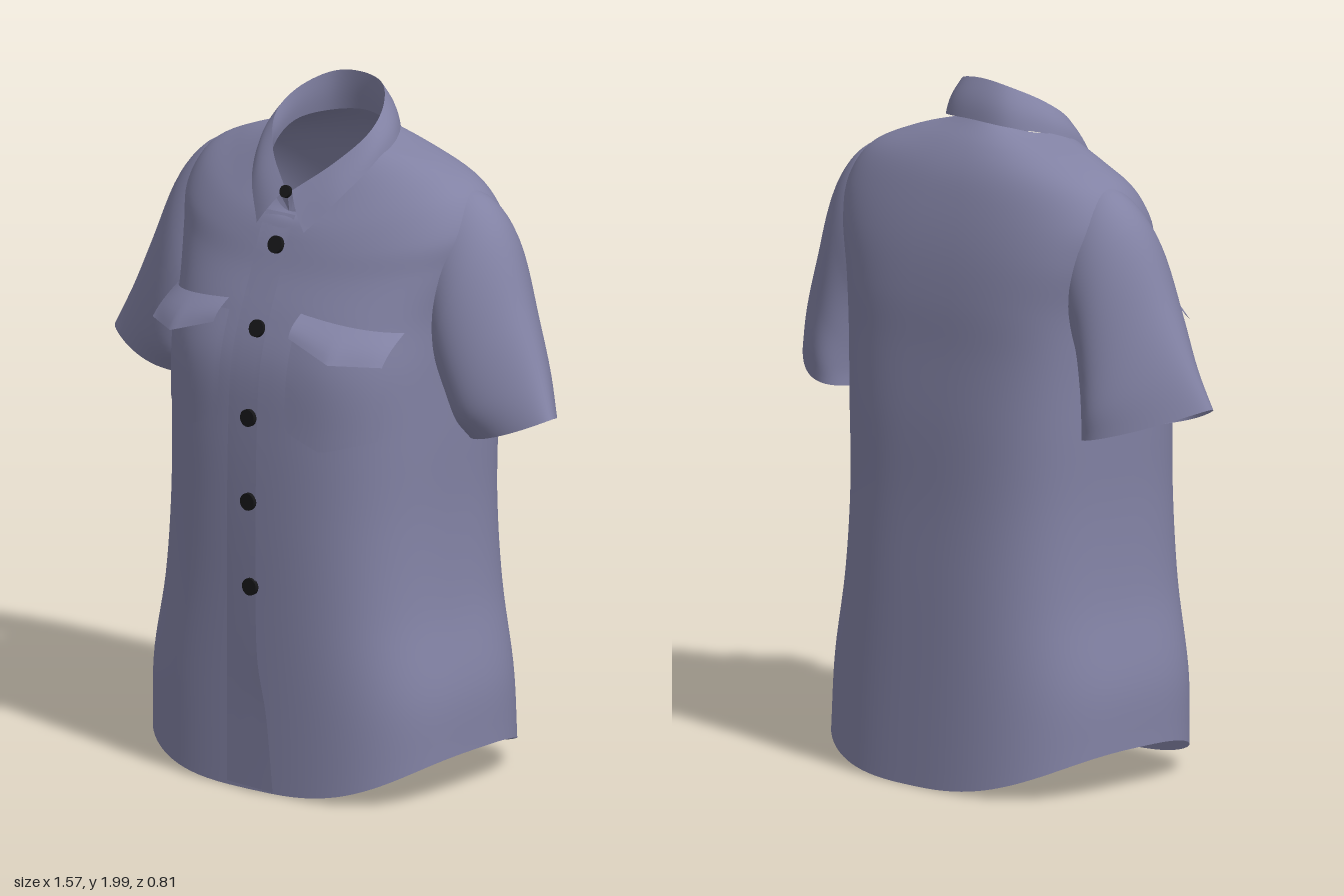
import * as THREE from 'three';
import { mergeVertices } from 'three/addons/utils/BufferGeometryUtils.js';

const V = (x, y, z) => new THREE.Vector3(x, y, z);
const lerp = THREE.MathUtils.lerp;
const spline = (pts) => new THREE.CatmullRomCurve3(pts);

// Smooth sheet: column(u) returns a function of v that gives a point.
// Faces whose four corners are all hidden are left out.
function sheet(nu, nv, column, hidden = () => false) {
  const pos = [], off = [], idx = [];
  for (let i = 0; i <= nu; i++) {
    const at = column(i / nu);
    for (let j = 0; j <= nv; j++) {
      const p = at(j / nv);
      pos.push(p.x, p.y, p.z);
      off.push(hidden(p));
    }
  }
  for (let i = 0; i < nu; i++) {
    for (let j = 0; j < nv; j++) {
      const a = i * (nv + 1) + j, b = a + nv + 1;
      if (off[a] && off[a + 1] && off[b] && off[b + 1]) continue;
      idx.push(a, a + 1, b, b, a + 1, b + 1);
    }
  }
  let geo = new THREE.BufferGeometry();
  geo.setAttribute('position', new THREE.Float32BufferAttribute(pos, 3));
  geo.setIndex(idx);
  geo = mergeVertices(geo, 1e-5);
  geo.computeVertexNormals();
  return geo;
}

// Torso rings: half width, z at front / side / back, y at front / side / back, squareness front / back
const TORSO = [
  [0.51, 0.385, 0, -0.405, 0.01, 0.135, 0.01, 3, 2.7],
  [0.505, 0.385, 0, -0.39, 0.28, 0.31, 0.28, 3, 2.7],
  [0.46, 0.385, 0, -0.375, 0.55, 0.55, 0.55, 2.9, 2.8],
  [0.443, 0.385, 0, -0.36, 0.8, 0.8, 0.8, 2.8, 2.9],
  [0.447, 0.38, -0.01, -0.35, 1.05, 1.05, 1.05, 2.8, 3],
  [0.45, 0.365, -0.02, -0.335, 1.25, 1.25, 1.25, 2.9, 3.2],
  [0.46, 0.325, -0.03, -0.325, 1.38, 1.4, 1.4, 2.7, 3.3],
  [0.495, 0.275, -0.045, -0.305, 1.5, 1.55, 1.54, 2.4, 3.1],
  [0.505, 0.25, -0.05, -0.275, 1.57, 1.645, 1.66, 2.3, 2.8],
  [0.455, 0.235, -0.045, -0.24, 1.61, 1.74, 1.755, 2.1, 2.5],
  [0.33, 0.22, -0.03, -0.195, 1.64, 1.805, 1.825, 2, 2.2],
  [0.17, 0.2, 0.02, -0.135, 1.66, 1.85, 1.885, 2, 2],
];

function torsoColumn(u) {
  const a = u * Math.PI * 2, c = Math.cos(a), s = Math.sin(a), front = s > 0;
  const curve = spline(TORSO.map(([w, zf, zs, zb, yf, ys, yb, nf, nb]) => {
    const n = front ? nf : nb;
    return V(
      w * Math.sign(c) * Math.abs(c) ** (2 / n),
      lerp(ys, front ? yf : yb, s * s),
      lerp(zs, front ? zf : zb, Math.abs(s) ** (2 / n)));
  }));
  return (v) => curve.getPoint(v);
}

// Sleeve rings: outer x, y, inner x, y, centre z, half depth, z shift of outer edge, outer taper
const SLEEVE = [
  [0.41, 1.758, 0.37, 1.31, -0.055, 0.14, 0, 0],
  [0.49, 1.725, 0.39, 1.27, -0.05, 0.16, -0.01, 0.05],
  [0.565, 1.645, 0.41, 1.23, -0.045, 0.17, -0.01, 0.12],
  [0.66, 1.43, 0.437, 1.16, -0.045, 0.17, 0.01, 0.25],
  [0.73, 1.275, 0.455, 1.09, -0.05, 0.16, 0.03, 0.38],
  [0.787, 1.15, 0.462, 1.047, -0.055, 0.135, 0.06, 0.45],
];

function sleeveColumn(u, side) {
  const a = u * Math.PI * 2, c = Math.cos(a), s = Math.sin(a);
  const curve = spline(SLEEVE.map(([ox, oy, ix, iy, zc, zr, shift, taper]) => V(
    side * ((ox + ix) / 2 + (ox - ix) / 2 * c),
    (oy + iy) / 2 + (oy - iy) / 2 * c - 0.015 * s * s,
    zc + zr * s * (1 - taper * c) + shift * c)));
  return (v) => curve.getPoint(v);
}

// Collar edges, from the centre back round to the front
const FOLD = [[0, 2, -0.11], [0.09, 1.987, -0.095], [0.155, 1.943, -0.02],
  [0.168, 1.887, 0.06], [0.112, 1.81, 0.142], [0.012, 1.725, 0.21]];
const OUTER = [[0, 1.888, -0.152], [0.12, 1.88, -0.13], [0.198, 1.858, -0.03],
  [0.207, 1.815, 0.07], [0.165, 1.73, 0.17], [0.085, 1.622, 0.247]];
const BASE = [[0, 1.882, -0.133], [0.1, 1.87, -0.106], [0.16, 1.85, -0.02],
  [0.16, 1.8, 0.075], [0.11, 1.74, 0.15], [0.004, 1.66, 0.203]];

function edge(points) {
  const half = points.map((p) => V(...p));
  const other = half.slice(1).reverse().map((p) => V(-p.x, p.y, p.z));
  return spline([...other, ...half]);
}

function strip(top, bottom, bulge) {
  const a = edge(top), b = edge(bottom);
  return sheet(64, 8, (u) => {
    const p = a.getPoint(u), q = b.getPoint(u);
    const out = V(p.x, 0, p.z - 0.03).normalize();
    return (v) => p.clone().lerp(q, v).addScaledVector(out, bulge * Math.sin(Math.PI * v));
  });
}

export function createModel() {
  const group = new THREE.Group();
  const cloth = new THREE.MeshStandardMaterial({ color: 0x8282a4, side: THREE.DoubleSide });
  cloth.name = 'slate cloth';
  const black = new THREE.MeshStandardMaterial({ color: 0x161618 });
  black.name = 'black button';
  const add = (name, geo, mat = cloth) => {
    const mesh = new THREE.Mesh(geo, mat);
    mesh.name = name;
    group.add(mesh);
    return mesh;
  };

  // Uncut torso and sleeve, used to open the armholes and to drape the sewn-on pieces
  const fullTorso = new THREE.Mesh(sheet(112, 72, torsoColumn), cloth);
  const fullSleeve = new THREE.Mesh(sheet(56, 30, (u) => sleeveColumn(u, 1)), cloth);
  const ray = new THREE.Raycaster();
  const within = (mesh, p) => {
    ray.set(V(Math.abs(p.x) + 1e-4, p.y + 1.3e-4, p.z + 1.7e-4), V(1, 0, 0));
    return ray.intersectObject(mesh).length % 2 === 1;
  };
  const frontZ = (x, y) => {
    ray.set(V(x, y, 2), V(0, 0, -1));
    const hit = ray.intersectObject(fullTorso)[0];
    return hit && hit.point.z > 0 ? hit.point.z : 0.2;
  };

  add('torso', sheet(112, 72, torsoColumn,
    (p) => p.y > 1.3 && Math.abs(p.x) > 0.35 && within(fullSleeve, p)));

  // Collar
  add('collarFall', strip(FOLD, OUTER, 0.008));
  add('collarStand', strip(FOLD, BASE, -0.004));

  // Overlapping button placket, swinging aside near the hem
  const hemEdge = spline([V(0.025, 1.655, 0), V(0.03, 1.2, 0), V(0.035, 0.8, 0),
    V(0.045, 0.4, 0), V(0.075, 0.25, 0), V(0.1, 0.022, 0)]);
  add('placket', sheet(40, 6, (u) => {
    const e = hemEdge.getPoint(u);
    return (v) => {
      const x = lerp(-0.08, e.x, v);
      return V(x, e.y, frontZ(x, e.y) + lerp(0.002, lerp(0.004, 0.02, Math.min(1, u * 1.7)), v));
    };
  }));

  for (const side of [1, -1]) {
    const label = side > 0 ? 'left' : 'right';
    add(label + 'Sleeve', sheet(56, 30, (u) => sleeveColumn(u, side), (p) => within(fullTorso, p)));

    // Patch pocket with a pointed bottom
    add(label + 'Pocket', sheet(14, 14, (u) => {
      const low = u < 0.45 ? lerp(1.08, 1.03, u / 0.45) : lerp(1.03, 1.07, (u - 0.45) / 0.55);
      return (v) => {
        const y = lerp(low, 1.38, v);
        const x = side * lerp(0.12, lerp(0.375, 0.405, v), u);
        return V(x, y, frontZ(x, y) + 0.004 + 0.012 * Math.sin(Math.PI * u) * v);
      };
    }));

    // Pocket flap standing away from the chest
    const flapLow = [[0.135, 1.352, 0.378], [0.285, 1.302, 0.388], [0.415, 1.3, 0.305]];
    add(label + 'PocketFlap', sheet(16, 6, (u) => {
      const k = Math.min(1, Math.floor(u * 2)), t = u * 2 - k;
      const low = V(...flapLow[k]).lerp(V(...flapLow[k + 1]), t);
      const x = lerp(0.13, 0.41, u), y = lerp(1.41, 1.378, u);
      const top = V(x, y, frontZ(x, y) + 0.006);
      return (v) => {
        const p = top.clone().lerp(low, v);
        p.z += 0.012 * Math.sin(Math.PI * v);
        p.x *= side;
        return p;
      };
    }));
  }

  // Buttons down the front, tilted with the cloth
  const buttons = [[-0.006, 1.72, 0.018], [-0.005, 1.575, 0.025], [-0.002, 1.35, 0.025],
    [0.005, 1.1, 0.025], [0.01, 0.857, 0.025], [0.018, 0.61, 0.025]];
  buttons.forEach(([x, y, r], i) => {
    const button = add('button' + (i + 1), new THREE.CylinderGeometry(r, r, 0.012, 20), black);
    const yy = Math.min(y, 1.6);
    const slope = (frontZ(x, yy - 0.03) - frontZ(x, yy + 0.03)) / 0.06;
    button.position.set(x, y, i ? frontZ(x, y) + (y < 1.2 ? 0.018 : 0.012) : 0.215);
    button.rotation.x = Math.PI / 2 - Math.atan(slope);
  });
  return group;
}
